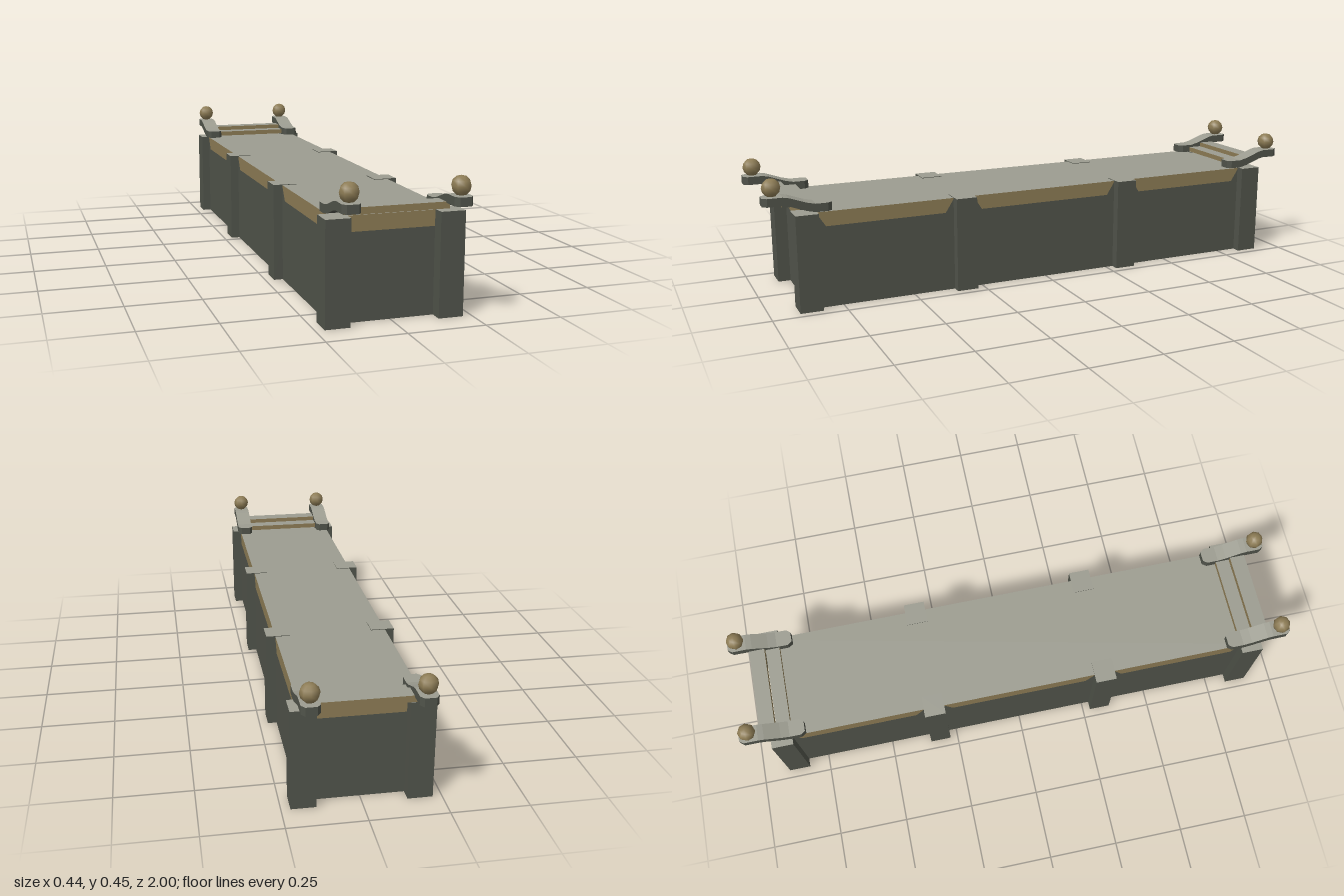
import * as THREE from 'three';

const mat = (name, color) => {
  const m = new THREE.MeshStandardMaterial({ color, side: THREE.DoubleSide });
  m.name = name;
  return m;
};

// Flat polygon from [u, v] points
const polygon = (pts) => new THREE.ShapeGeometry(new THREE.Shape(pts.map(([u, v]) => new THREE.Vector2(u, v))));

// Curved arm swept along z; stations are [z, half width, top height]
function armGeometry(stations, thick) {
  const top = [], rest = [];
  const quad = (list, a, b, c, d) => list.push(...a, ...b, ...c, ...a, ...c, ...d);
  const ring = ([z, w, y]) => [[-w, y, z], [w, y, z], [w, y - thick, z], [-w, y - thick, z]];
  const rings = stations.map(ring);
  for (let i = 0; i < rings.length - 1; i++) {
    const a = rings[i], b = rings[i + 1];
    quad(top, a[0], b[0], b[1], a[1]);
    for (let k = 1; k < 4; k++) {
      const n = (k + 1) % 4;
      quad(rest, a[k], b[k], b[n], a[n]);
    }
  }
  const s = rings[0], e = rings[rings.length - 1];
  quad(rest, s[0], s[1], s[2], s[3]);
  quad(rest, e[3], e[2], e[1], e[0]);
  const g = new THREE.BufferGeometry();
  g.setAttribute('position', new THREE.Float32BufferAttribute([...top, ...rest], 3));
  g.addGroup(0, top.length / 3, 0);
  g.addGroup(top.length / 3, rest.length / 3, 1);
  g.computeVertexNormals();
  return g;
}

export function createModel() {
  const root = new THREE.Group();
  const light = mat('light stone', 0x9c9c90);
  const dark = mat('dark stone', 0x50534a);
  const gold = mat('aged gold', 0x8c7b54);

  const add = (name, geo, material, x = 0, y = 0, z = 0, parent = root) => {
    const m = new THREE.Mesh(geo, material);
    m.name = name;
    m.position.set(x, y, z);
    parent.add(m);
    return m;
  };

  const H = 0.328, band = 0.278, wallX = 0.19, wallZ = 0.86;

  // Top slab, open underneath
  add('topSlab', new THREE.PlaneGeometry(wallX * 2, wallZ * 2).rotateX(-Math.PI / 2), light, 0, H, 0);

  // Long walls: dark panel with a tapered gold band in each of three bays
  const bays = [[-0.83, -0.35], [-0.28, 0.28], [0.35, 0.83]];
  const taper = 0.032;
  const outline = [[-wallZ, 0], [wallZ, 0], [wallZ, H]];
  for (const [a, b] of [...bays].reverse()) {
    outline.push([b, H], [b - taper, band], [a + taper, band], [a, H]);
  }
  outline.push([-wallZ, H]);
  for (const s of [-1, 1]) {
    const side = new THREE.Group();
    side.name = s > 0 ? 'leftWall' : 'rightWall';
    side.position.x = s * wallX;
    side.rotation.y = s * Math.PI / 2;
    root.add(side);
    add('wallPanel', polygon(outline), dark, 0, 0, 0, side);
    for (const [a, b] of bays) {
      add('goldBand', polygon([[a + taper, band], [b - taper, band], [b, H], [a, H]]), gold, 0, 0, 0, side);
    }
  }

  // Posts along both sides, with light tops
  const postMats = [dark, dark, light, dark, dark, dark];
  const post = (d) => new THREE.BoxGeometry(0.08, 0.33, d);
  for (const s of [-1, 1]) {
    for (const e of [-1, 1]) {
      add('cornerPost', post(0.077), postMats, s * 0.181, 0.165, e * 0.8645);
      add('middlePost', post(0.075), postMats, s * 0.181, 0.165, e * 0.315);
    }
  }

  // Both ends: wall, raised slats, curved arms and ball finials
  const arm = armGeometry([
    [0.775, 0.018, 0.36], [0.79, 0.029, 0.36], [0.83, 0.029, 0.36], [0.86, 0.029, 0.367],
    [0.915, 0.029, 0.387], [0.935, 0.029, 0.391], [0.985, 0.029, 0.391], [1.0, 0.018, 0.391],
  ], 0.028);
  const ball = new THREE.SphereGeometry(0.031, 8, 6);
  const slatMats = [dark, dark, light, dark, gold, gold];
  for (const e of [1, -1]) {
    const end = new THREE.Group();
    end.name = e > 0 ? 'frontEnd' : 'backEnd';
    end.rotation.y = e > 0 ? 0 : Math.PI;
    root.add(end);
    add('endWall', new THREE.PlaneGeometry(wallX * 2, band), dark, 0, band / 2, wallZ, end);
    add('endGoldBand', new THREE.PlaneGeometry(wallX * 2, H - band), gold, 0, (H + band) / 2, wallZ, end);
    add('lowerSlat', new THREE.BoxGeometry(0.31, 0.018, 0.05), slatMats, 0, 0.342, 0.848, end);
    add('upperSlat', new THREE.BoxGeometry(0.31, 0.021, 0.055), slatMats, 0, 0.356, 0.9025, end);
    for (const s of [-1, 1]) {
      add('curvedArm', arm, [light, dark], s * 0.172, 0, 0, end);
      add('ballFinial', ball, gold, s * 0.172, 0.42, 0.966, end);
    }
  }
  return root;
}
